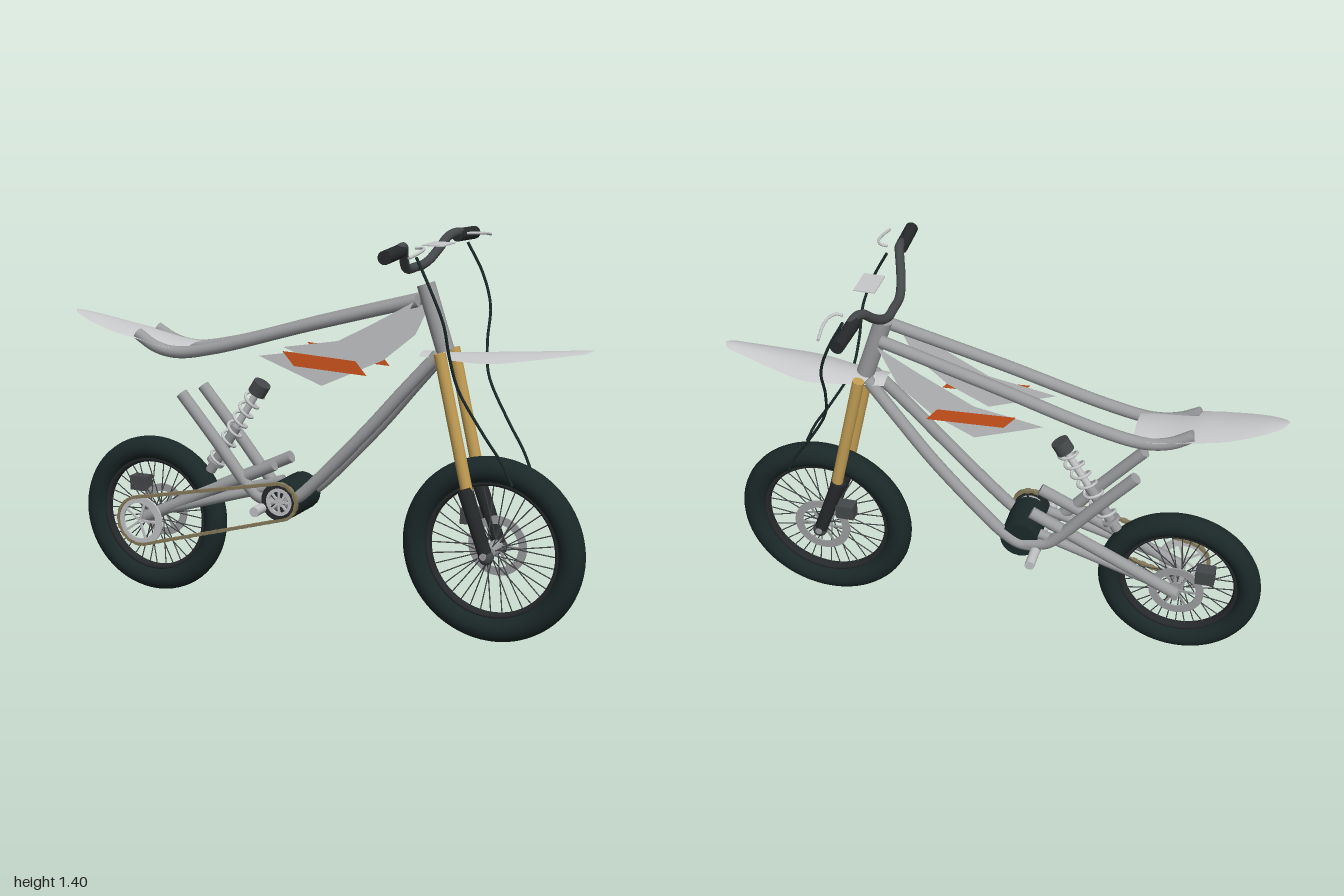
import * as THREE from 'three';
import { mergeGeometries } from 'three/addons/utils/BufferGeometryUtils.js';

const mat = (name, color, double) => {
  const m = new THREE.MeshStandardMaterial({ color });
  m.name = name;
  if (double) m.side = THREE.DoubleSide;
  return m;
};
const V = (x, y, z = 0) => new THREE.Vector3(x, y, z);

export function createModel() {
  const root = new THREE.Group();
  const frameGrey = mat('frameGrey', 0x9a9c9e);
  const panelGrey = mat('panelGrey', 0xc6c8ca, true);
  const rubber = mat('rubber', 0x1b2828);
  const black = mat('black', 0x26292b);
  const barGrey = mat('barGrey', 0x45484a);
  const gold = mat('gold', 0xc49f55);
  const orange = mat('orange', 0xd2561e, true);
  const chainBrass = mat('chainBrass', 0x857a5a);
  const steel = mat('steel', 0xc2c4c6);

  const add = (name, geo, material, parent = root) => {
    const m = new THREE.Mesh(geo, material);
    m.name = name;
    parent.add(m);
    return m;
  };
  // Straight round bar between two points
  const rodGeo = (a, b, r, r2 = r, sides = 20) => {
    const d = b.clone().sub(a);
    const g = new THREE.CylinderGeometry(r2, r, d.length(), sides);
    g.applyQuaternion(new THREE.Quaternion().setFromUnitVectors(V(0, 1, 0), d.normalize()));
    const c = a.clone().add(b).multiplyScalar(0.5);
    return g.translate(c.x, c.y, c.z);
  };
  const rod = (name, a, b, r, m, r2) => add(name, rodGeo(a, b, r, r2), m);
  // Bent tube with closed ends
  const tube = (name, pts, r, m, seg = 64) => {
    const curve = new THREE.CatmullRomCurve3(pts, false, 'centripetal');
    const parts = [new THREE.TubeGeometry(curve, seg, r, 14)];
    for (const [t, s] of [[0, -1], [1, 1]]) {
      const p = curve.getPoint(t), n = curve.getTangent(t).multiplyScalar(s);
      const cap = new THREE.CircleGeometry(r, 14);
      cap.applyQuaternion(new THREE.Quaternion().setFromUnitVectors(V(0, 0, 1), n));
      parts.push(cap.translate(p.x, p.y, p.z));
    }
    return add(name, mergeGeometries(parts), m);
  };
  // Flat ring with radial arms, facing z
  const spider = (name, x, y, z, R, r, arms, m, depth = 0.008) => {
    const s = new THREE.Shape().absarc(0, 0, R, 0, Math.PI * 2);
    s.holes.push(new THREE.Path().absarc(0, 0, r, 0, Math.PI * 2, true));
    const parts = [new THREE.ExtrudeGeometry(s, { depth, bevelEnabled: false, curveSegments: 40 }).toNonIndexed()];
    for (let i = 0; i < arms; i++) {
      const arm = new THREE.BoxGeometry(r, 0.008, depth * 0.8).toNonIndexed();
      parts.push(arm.translate(r * 0.55, 0, depth / 2).rotateZ((i / arms) * Math.PI * 2));
    }
    parts.forEach(g => g.clearGroups());
    add(name, mergeGeometries(parts), m).position.set(x, y, z - depth / 2);
  };

  // Wheels
  const wheel = (name, x, y, R, t) => {
    const g = new THREE.Group();
    g.name = name;
    g.position.set(x, y, 0);
    root.add(g);
    add('tyre', new THREE.TorusGeometry(R - t, t, 20, 72), rubber, g);
    const rim = R - 2 * t;
    add('rim', new THREE.TorusGeometry(rim, 0.012, 10, 64).scale(1, 1, 1.6), black, g);
    add('hub', new THREE.CylinderGeometry(0.024, 0.024, 0.09, 20).rotateX(Math.PI / 2), frameGrey, g);
    add('axle', new THREE.CylinderGeometry(0.012, 0.012, 0.2, 16).rotateX(Math.PI / 2), frameGrey, g);
    const spokes = [];
    for (let i = 0; i < 36; i++) {
      const a = (i / 36) * Math.PI * 2, b = a + (i % 4 < 2 ? 0.22 : -0.22);
      spokes.push(rodGeo(V(0.024 * Math.cos(b), 0.024 * Math.sin(b), i % 2 ? 0.035 : -0.035),
        V(rim * Math.cos(a), rim * Math.sin(a), 0), 0.0022, 0.0022, 5));
    }
    add('spokes', mergeGeometries(spokes), barGrey, g);
  };
  wheel('frontWheel', 0.665, 0.33, 0.33, 0.046);
  wheel('rearWheel', -0.675, 0.3, 0.297, 0.043);

  // Brakes
  spider('frontDisc', 0.665, 0.33, -0.052, 0.107, 0.078, 6, frameGrey, 0.006);
  spider('rearDisc', -0.675, 0.3, -0.056, 0.1, 0.072, 6, frameGrey, 0.006);
  for (const [n, x, y] of [['frontCaliper', 0.565, 0.425], ['rearCaliper', -0.775, 0.395]])
    add(n, new THREE.BoxGeometry(0.068, 0.055, 0.05), barGrey).position.set(x, y, -0.058);

  // Sprockets and chain
  const A = V(-0.675, 0.3), B = V(-0.095, 0.44), ra = 0.09, rb = 0.066, cz = 0.12;
  spider('rearSprocket', A.x, A.y, cz, 0.095, 0.068, 5, steel);
  spider('motorSprocket', B.x, B.y, cz, 0.07, 0.048, 5, black);
  spider('motorSprocketRing', B.x, B.y, cz + 0.002, 0.05, 0.038, 8, steel);
  const span = B.clone().sub(A), phi = Math.atan2(span.y, span.x);
  const off = Math.acos((ra - rb) / span.length());
  const loop = [];
  const arc = (c, r, from, to) => {
    for (let i = 0; i <= 24; i++) {
      const a = from + (to - from) * i / 24;
      loop.push(new THREE.Vector2(c.x + r * Math.cos(a), c.y + r * Math.sin(a)));
    }
  };
  arc(A, ra, phi + off, phi + Math.PI * 2 - off);
  arc(B, rb, phi - off, phi + off);
  const path = new THREE.Path(loop).closePath();
  const links = [];
  for (let i = 0; i < 100; i++) {
    const p = path.getPointAt(i / 100), d = path.getTangentAt(i / 100);
    links.push(new THREE.BoxGeometry(0.0185, 0.011, i % 2 ? 0.018 : 0.011)
      .rotateZ(Math.atan2(d.y, d.x)).translate(p.x, p.y, cz));
  }
  add('chain', mergeGeometries(links), chainBrass);

  // Motor and foot pegs
  rod('motor', V(-0.1, 0.435, -0.085), V(-0.1, 0.435, 0.085), 0.07, rubber);
  rod('motorShaft', V(-0.095, 0.44, 0.085), V(-0.095, 0.44, 0.125), 0.018, frameGrey);
  rod('footPegs', V(-0.163, 0.41, -0.185), V(-0.163, 0.41, 0.185), 0.018, steel);

  // Steering head
  rod('headTube', V(0.48, 1.01), V(0.405, 1.235), 0.032, frameGrey);

  // Parts mirrored on both sides
  for (const s of [1, -1]) {
    const P = (x, y, z) => V(x, y, z * s);
    tube('topTube', [P(0.4, 1.185, 0.058), P(0, 1.075, 0.07), P(-0.38, 0.965, 0.078), P(-0.53, 0.94, 0.078),
      P(-0.62, 0.955, 0.076), P(-0.695, 0.995, 0.07)], 0.022, frameGrey);
    tube('downTube', [P(0.465, 1.0, 0.03), P(0.35, 0.87, 0.05), P(0.22, 0.72, 0.066), P(0.03, 0.52, 0.075),
      P(-0.04, 0.455, 0.077), P(-0.1, 0.42, 0.078), P(-0.18, 0.42, 0.078)], 0.022, frameGrey);
    tube('seatTube', [P(-0.51, 0.79, 0.08), P(-0.35, 0.605, 0.08), P(-0.25, 0.485, 0.08), P(-0.2, 0.44, 0.08),
      P(-0.12, 0.42, 0.078)], 0.022, frameGrey);
    rod('swingArm', P(-0.675, 0.305, 0.078), P(-0.14, 0.56, 0.07), 0.022, frameGrey);
    rod('swingArmBrace', P(-0.6, 0.34, 0.078), P(-0.17, 0.47, 0.07), 0.018, frameGrey);

    // Fork leg
    rod('forkTube', P(0.593, 0.54, 0.067), P(0.485, 1.012, 0.067), 0.021, gold);
    rod('forkSlider', P(0.668, 0.32, 0.072), P(0.583, 0.555, 0.07), 0.024, black, 0.026);
    add('forkEnd', new THREE.SphereGeometry(0.027, 16, 12), barGrey).position.set(0.668, 0.322, 0.072 * s);

    // Handlebar half, grip, lever and cable
    tube('handlebar', [P(0.365, 1.29, 0), P(0.366, 1.29, 0.06), P(0.375, 1.305, 0.11), P(0.39, 1.34, 0.16),
      P(0.405, 1.375, 0.2), P(0.418, 1.386, 0.24), P(0.423, 1.375, 0.32)], 0.016, barGrey);
    rod('grip', P(0.418, 1.375, 0.257), P(0.426, 1.37, 0.408), 0.023, black);
    tube('lever', [P(0.462, 1.385, 0.238), P(0.485, 1.387, 0.24), P(0.502, 1.385, 0.265), P(0.506, 1.38, 0.31),
      P(0.498, 1.37, 0.38)], 0.005, steel, 30);
    tube('cable', [P(0.465, 1.355, 0.237), P(0.52, 1.25, 0.244), P(0.558, 1.14, 0.225), P(0.565, 1.02, 0.182),
      P(0.585, 0.91, 0.148), P(0.665, 0.765, 0.124), P(0.73, 0.665, 0.11), P(0.765, 0.59, 0.103)], 0.005, rubber);

    // Side panel and its coloured stripe
    const plate = (name, pts, z, m) => add(name, new THREE.ShapeGeometry(
      new THREE.Shape(pts.map(p => new THREE.Vector2(...p)))), m).position.z = z * s;
    plate('sidePanel', [[-0.185, 0.957], [0.06, 0.87], [0.21, 0.94], [0.33, 1.04], [0.4, 1.185], [0.25, 1.1],
      [0.06, 1.0]], 0.097, panelGrey);
    plate('panelStripe', [[-0.09, 0.982], [-0.045, 0.932], [0.232, 0.92], [0.19, 0.968]], 0.101, orange);
  }

  // Rear shock absorber with coil spring
  const low = V(-0.44, 0.49), top = V(-0.235, 0.815), axis = top.clone().sub(low);
  const at = t => low.clone().addScaledVector(axis, t);
  rod('shockBody', at(0), at(0.55), 0.019, frameGrey);
  rod('shockShaft', at(0.5), at(1), 0.013, steel);
  rod('shockCap', at(0.95), at(1.07), 0.033, barGrey);
  rod('springSeat', at(0.1), at(0.13), 0.034, frameGrey);
  const side = V(axis.y, -axis.x).normalize(), coil = [];
  for (let i = 0; i <= 112; i++) {
    const a = (i / 16) * Math.PI * 2;
    coil.push(at(0.13 + 0.82 * i / 112).addScaledVector(side, 0.031 * Math.cos(a)).add(V(0, 0, 0.031 * Math.sin(a))));
  }
  tube('spring', coil, 0.0055, steel, 300);

  // Arched mudguards: each row is x, height, half width
  const guard = (name, rows, drop) => {
    const curve = new THREE.CatmullRomCurve3(rows.map(r => V(...r)), false, 'centripetal');
    const g = new THREE.PlaneGeometry(1, 1, 40, 12).rotateX(-Math.PI / 2);
    const pos = g.attributes.position;
    for (let i = 0; i < pos.count; i++) {
      const c = curve.getPoint(pos.getX(i) + 0.5), v = pos.getZ(i) * 2;
      pos.setXYZ(i, c.x, c.y - drop * v * v * Math.min(1, c.z / 0.09), c.z * v);
    }
    g.computeVertexNormals();
    add(name, g, panelGrey);
  };
  guard('frontMudguard', [[0.4, 1.005, 0.045], [0.52, 1.008, 0.062], [0.67, 1.02, 0.09], [0.8, 1.032, 0.07],
    [0.93, 1.045, 0.04], [0.985, 1.05, 0.025], [1, 1.051, 0.004]], 0.025);
  guard('rearMudguard', [[-1, 1.056, 0.004], [-0.985, 1.054, 0.025], [-0.92, 1.043, 0.06], [-0.79, 1.018, 0.092],
    [-0.7, 1.002, 0.097], [-0.6, 0.98, 0.095], [-0.49, 0.968, 0.093]], 0.018);

  // Small display plate above the handlebar
  add('displayPlate', new THREE.BoxGeometry(0.075, 0.004, 0.116), panelGrey).position.set(0.45, 1.372, 0);

  return root;
}
